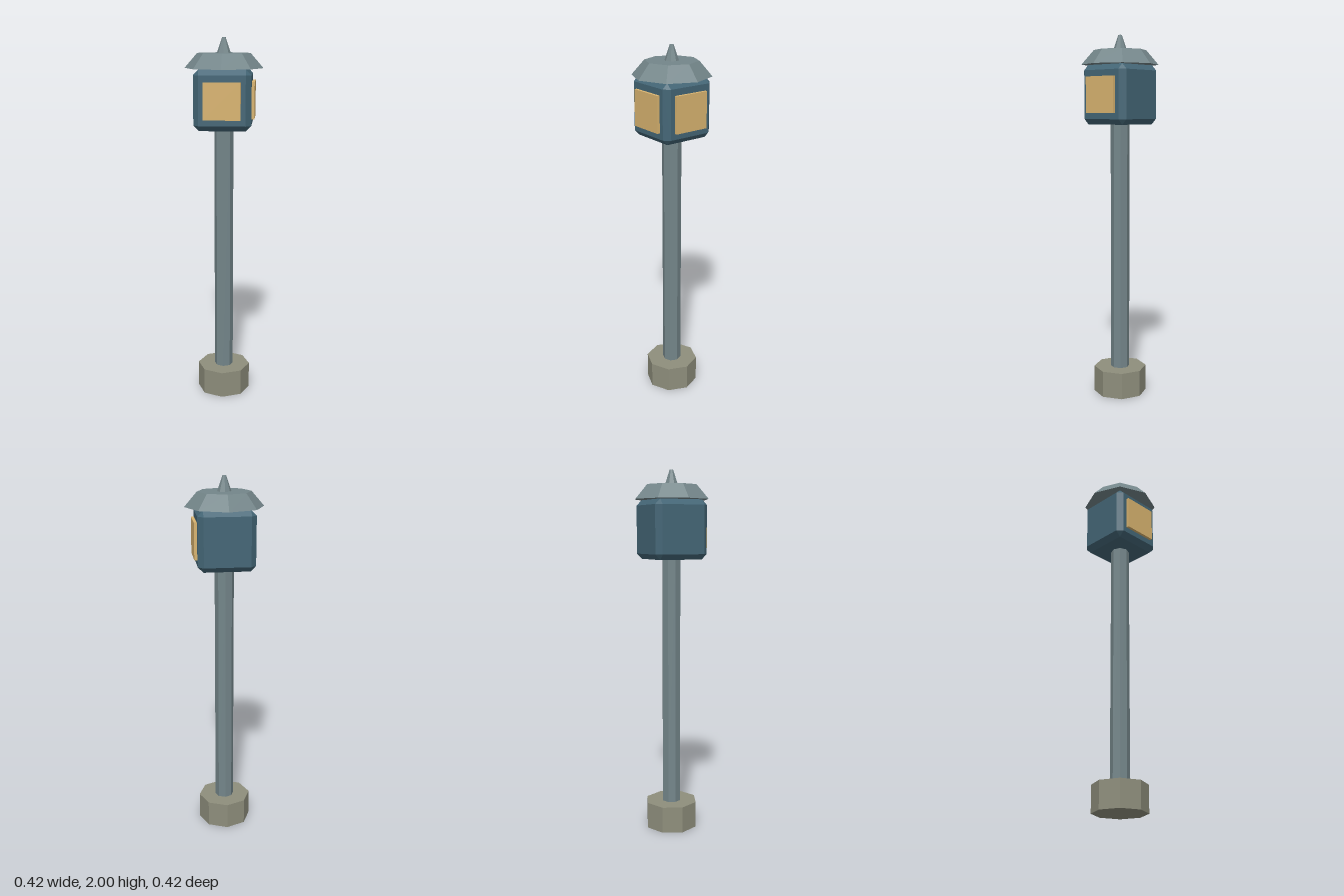
import * as THREE from 'three';
import { ConvexGeometry } from 'three/addons/geometries/ConvexGeometry.js';

const material = (color) => new THREE.MeshStandardMaterial({ color, flatShading: true });

// Box with every edge and corner cut flat
function chamferedBox(w, h, d, cut) {
  const half = [w / 2, h / 2, d / 2];
  const points = [];
  for (const sx of [-1, 1]) for (const sy of [-1, 1]) for (const sz of [-1, 1]) {
    for (let full = 0; full < 3; full++) {
      const p = half.map((v, i) => (i === full ? v : v - cut));
      points.push(new THREE.Vector3(sx * p[0], sy * p[1], sz * p[2]));
    }
  }
  return new ConvexGeometry(points);
}

export function createModel() {
  const group = new THREE.Group();
  const stone = material(0x8e8e7c);
  const metal = material(0x74868a);
  const housing = material(0x446676);
  const glow = material(0xd9b470);

  const add = (name, geometry, mat, x, y, z) => {
    const mesh = new THREE.Mesh(geometry, mat);
    mesh.name = name;
    mesh.position.set(x, y, z);
    group.add(mesh);
  };
  // Eight-sided solid with corners on the x and z axes
  const octagon = (name, rTop, rBottom, y0, y1, mat) =>
    add(name, new THREE.CylinderGeometry(rTop, rBottom, y1 - y0, 8), mat, 0, (y0 + y1) / 2, 0);

  octagon('base', 0.147, 0.147, 0, 0.147, stone);
  octagon('post', 0.052, 0.052, 0.147, 1.53, metal);

  // Lantern with lit panes on the front and left sides only
  add('lanternHousing', chamferedBox(0.304, 0.318, 0.304, 0.029), housing, 0, 1.681, 0);
  add('frontPane', new THREE.BoxGeometry(0.196, 0.194, 0.021), glow, 0, 1.68, 0.157);
  add('leftPane', new THREE.BoxGeometry(0.021, 0.194, 0.196), glow, 0.157, 1.68, 0);

  octagon('roof', 0.142, 0.21, 1.842, 1.92, metal);
  octagon('finial', 0.01, 0.037, 1.92, 2, metal);

  return group;
}
